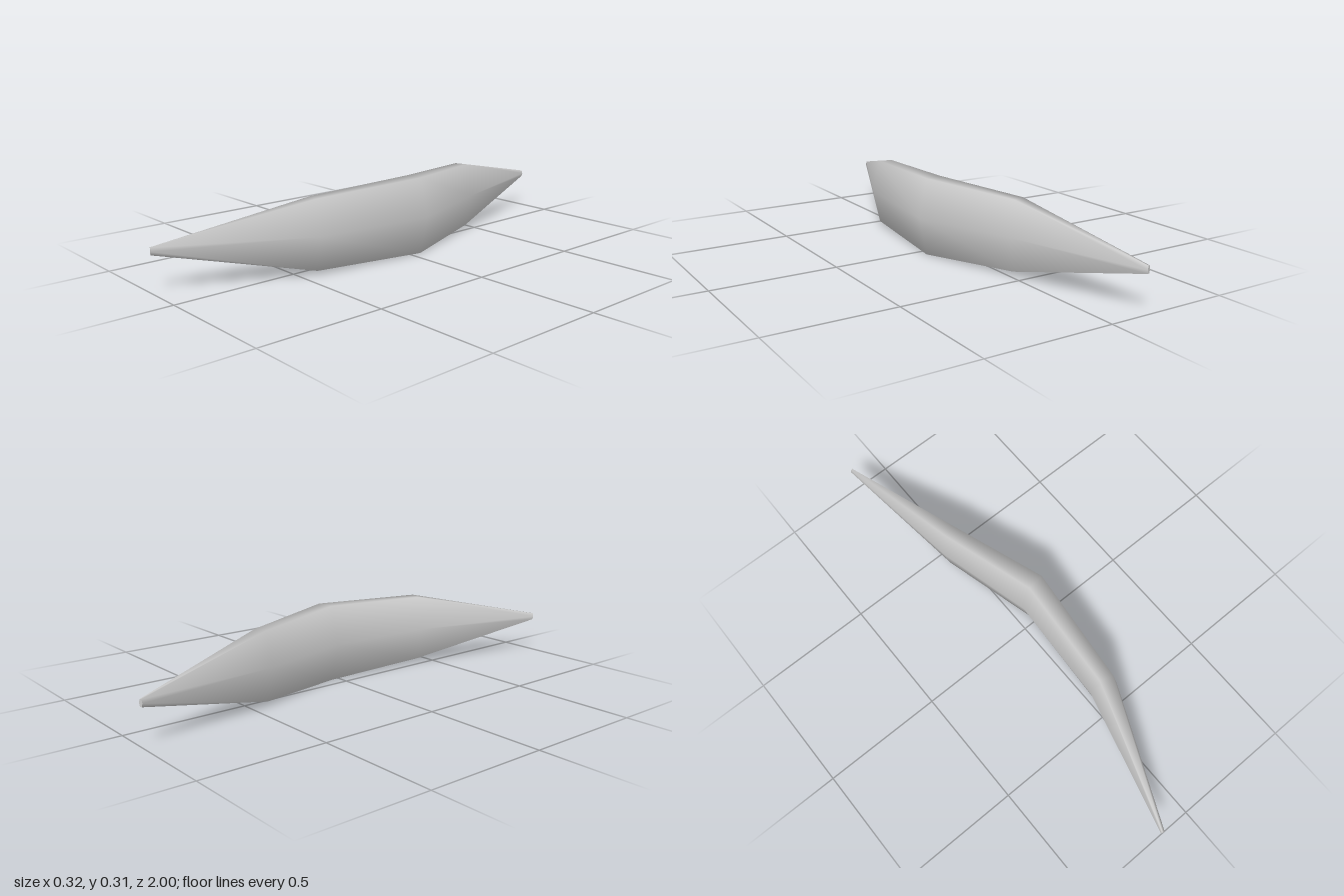
import * as THREE from 'three';

const SIDES = 6;
const MID_Y = 0.157;

// Hexagonal cross-sections from front to back: centre x, centre z, half width, half height, z lean
const SECTIONS = [
  [-0.152, 0.9975, 0.0075, 0.016, 0.0025],
  [0.047, 0.433, 0.054, 0.16, 0.017],
  [0.087, -0.04, 0.071, 0.181, -0.01],
  [-0.035, -0.443, 0.051, 0.159, -0.017],
  [-0.152, -0.9975, 0.0075, 0.016, -0.0025],
];

function ring([cx, cz, rx, ry, lean]) {
  return Array.from({ length: SIDES }, (_, k) => {
    const a = (k / SIDES) * Math.PI * 2;
    return [cx + rx * Math.cos(a), MID_Y + ry * Math.sin(a), cz + lean * Math.cos(a)];
  });
}

function geometry(points, index) {
  const g = new THREE.BufferGeometry();
  g.setAttribute('position', new THREE.Float32BufferAttribute(points.flat(), 3));
  g.setIndex(index);
  g.computeVertexNormals();
  return g;
}

export function createModel() {
  const group = new THREE.Group();
  group.name = 'curvedBlade';
  const grey = new THREE.MeshStandardMaterial({ color: 0xcccccc });
  grey.name = 'light grey';
  const add = (name, g) => {
    const mesh = new THREE.Mesh(g, grey);
    mesh.name = name;
    group.add(mesh);
  };

  // Smooth skin joining the cross-sections
  const rings = SECTIONS.map(ring);
  const index = [];
  for (let i = 0; i < rings.length - 1; i++) {
    for (let k = 0; k < SIDES; k++) {
      const n = (k + 1) % SIDES;
      const a = i * SIDES + k, d = i * SIDES + n;
      const b = a + SIDES, c = d + SIDES;
      index.push(a, b, d, b, c, d);
    }
  }
  add('body', geometry(rings.flat(), index));

  // Flat caps on both tips
  const front = [], back = [];
  for (let k = 1; k < SIDES - 1; k++) {
    front.push(0, k, k + 1);
    back.push(0, k + 1, k);
  }
  add('frontTip', geometry(rings[0], front));
  add('backTip', geometry(rings[rings.length - 1], back));
  return group;
}
